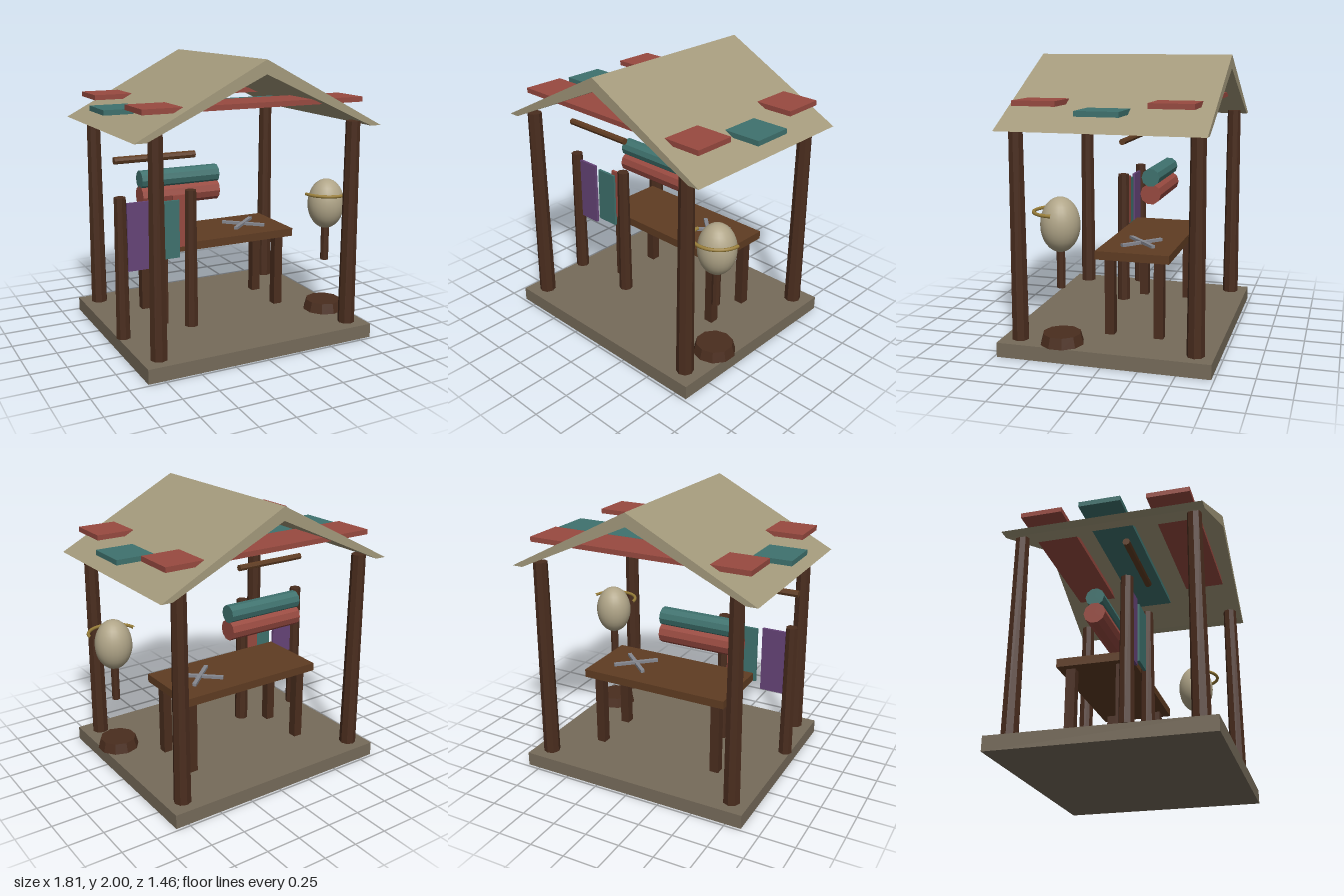
import * as THREE from 'three';

const mat = (color, flat = true) => new THREE.MeshStandardMaterial({ color, flatShading: flat });
const timber = mat(0x4a2d1e), plank = mat(0x5f3c22), stone = mat(0x766b5a), thatch = mat(0xa49a7c);
const red = mat(0x984a40), teal = mat(0x3f726e), purple = mat(0x664478), metal = mat(0x85878f);
const linen = mat(0xb0a588, false), brass = mat(0x9a7f3a, false);

export function createModel() {
  const model = new THREE.Group();

  const add = (name, geometry, material, x = 0, y = 0, z = 0) => {
    const mesh = new THREE.Mesh(geometry, material);
    mesh.name = name;
    mesh.position.set(x, y, z);
    model.add(mesh);
    return mesh;
  };
  // Box given by its limits on each axis
  const block = (name, material, [x0, x1], [y0, y1], [z0, z1]) =>
    add(name, new THREE.BoxGeometry(x1 - x0, y1 - y0, z1 - z0), material,
      (x0 + x1) / 2, (y0 + y1) / 2, (z0 + z1) / 2);
  // Upright tapered cylinder from y0 to y1
  const post = (name, material, rTop, rBottom, y0, y1, x, z, sides = 8) =>
    add(name, new THREE.CylinderGeometry(rTop, rBottom, y1 - y0, sides), material, x, (y0 + y1) / 2, z);
  // Cylinder lying along x
  const bar = (name, material, r, length, x, y, z, sides) => {
    const mesh = add(name, new THREE.CylinderGeometry(r, r, length, sides), material, x, y, z);
    mesh.rotation.z = Math.PI / 2;
  };

  // Floor and corner posts
  block('floor', stone, [-0.865, 0.845], [0, 0.1], [-0.73, 0.73]);
  for (const x of [-0.74, 0.72])
    for (const z of [-0.605, 0.605]) post('cornerPost', timber, 0.05, 0.06, 0.1, 1.56, x, z);

  // Gabled roof, thinning to the eaves
  const gable = new THREE.Shape([
    [-0.91, 1.53], [-0.83, 1.53], [-0.01, 1.907], [0.81, 1.53], [0.89, 1.53], [-0.01, 2],
  ].map(([x, y]) => new THREE.Vector2(x, y)));
  add('roof', new THREE.ExtrudeGeometry(gable, { depth: 1.38, bevelEnabled: false }), thatch, 0, 0, -0.69);

  // Coloured awning panels running through the roof
  for (const z of [-0.595, 0.3]) block('redAwning', red, [-0.82, 0.8], [1.685, 1.72], [z, z + 0.295]);
  block('tealAwning', teal, [-0.91, 0.89], [1.635, 1.67], [-0.145, 0.145]);

  // Drying rack with hanging cloths
  for (const x of [-0.825, -0.31]) post('rackPost', timber, 0.042, 0.05, 0.1, 1.09, x, 0.172);
  bar('rackRod', plank, 0.025, 0.58, -0.57, 1.34, 0.174, 8);
  block('purpleCloth', purple, [-0.78, -0.61], [0.57, 1.045], [0.163, 0.183]);
  block('tealCloth', teal, [-0.57, -0.4], [0.62, 1.03], [0.165, 0.185]);
  block('redCloth', red, [-0.44, -0.28], [0.69, 1.06], [0.15, 0.17]);

  // Work table
  block('tableTop', plank, [-0.565, 0.545], [0.642, 0.7], [-0.385, 0.13]);
  for (const x of [-0.48, 0.46])
    for (const z of [-0.302, 0.043])
      block('tableLeg', timber, [x - 0.033, x + 0.033], [0.1, 0.642], [z - 0.033, z + 0.033]);

  // Crossed shears on the table
  for (const side of [-1, 1]) {
    const blade = add('shearBlade', new THREE.BoxGeometry(0.33, 0.02, 0.028), metal,
      0.265, 0.712 + side * 0.002, -0.127);
    blade.rotation.y = side * 0.74;
  }

  // Rolls of cloth
  bar('tealRoll', teal, 0.066, 0.6, -0.27, 1.128, -0.127, 10);
  bar('redRoll', red, 0.076, 0.6, -0.27, 1.008, -0.128, 10);

  // Dress form: foot, stem, padded body and tape
  post('formFoot', timber, 0.13, 0.15, 0.1, 0.173, 0.72, 0.305, 10);
  post('formStem', timber, 0.03, 0.03, 0.485, 0.8, 0.72, 0.305);
  const body = add('formBody', new THREE.SphereGeometry(1, 24, 16), linen, 0.72, 0.913, 0.305);
  body.scale.set(0.135, 0.184, 0.132);
  const tape = add('measuringTape', new THREE.TorusGeometry(0.172, 0.012, 8, 24, Math.PI), brass, 0.72, 1, 0.305);
  tape.rotation.x = Math.PI / 2;

  return model;
}
